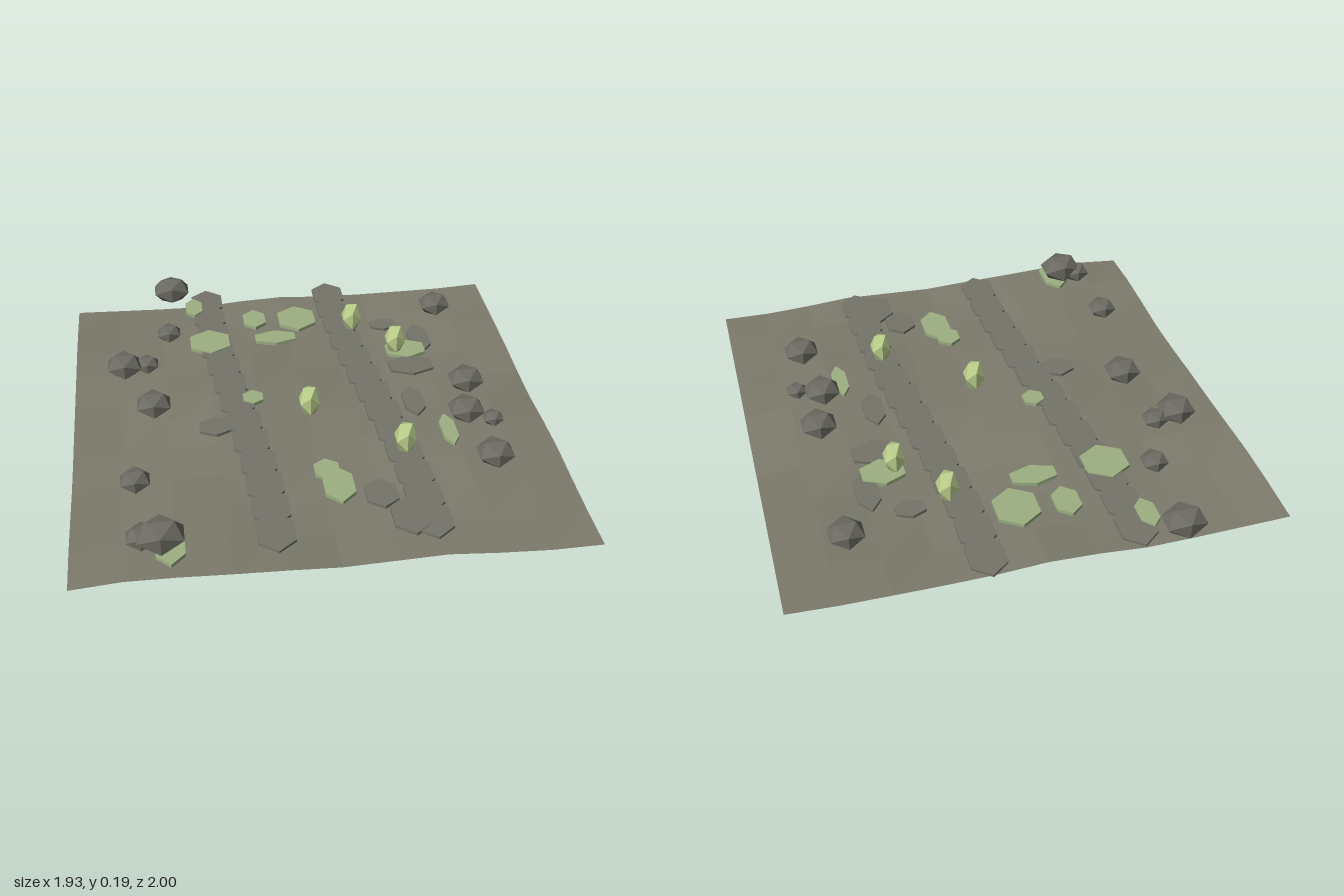
import * as THREE from 'three';

const paint = (name, color, extra = {}) => {
  const m = new THREE.MeshStandardMaterial({ color, flatShading: true, ...extra });
  m.name = name;
  return m;
};

export function createModel() {
  const root = new THREE.Group();
  root.name = 'rockyTrackTile';
  const earth = paint('earth', 0x7c7b6c, { side: THREE.DoubleSide });
  const gravel = paint('gravel', 0x75746a);
  const moss = paint('moss', 0x9db083);
  const stone = paint('stone', 0x6b6a62);
  const sprout = paint('sprout', 0xbccf8c);

  const add = (name, geo, mat, pos, scale, parent) => {
    const mesh = new THREE.Mesh(geo, mat);
    mesh.name = name;
    mesh.position.set(...pos);
    mesh.scale.set(...scale);
    parent.add(mesh);
    return mesh;
  };
  const section = (name) => {
    const g = new THREE.Group();
    g.name = name;
    root.add(g);
    return g;
  };

  // Gently rippled ground sheet
  const sheet = new THREE.PlaneGeometry(1.935, 1.935, 10, 10).rotateX(-Math.PI / 2);
  const p = sheet.attributes.position;
  for (let i = 0; i < p.count; i++) {
    const x = p.getX(i), z = p.getZ(i);
    p.setY(i, 0.024 + 0.009 * Math.sin(6.2 * x + 1.9 * z + 3.6) + 0.007 * Math.cos(5.1 * z - 2.3 * x)
      + 0.004 * Math.sin(11 * x - 9 * z));
  }
  sheet.computeVertexNormals();
  add('ground', sheet, earth, [0, 0, 0.032], [1, 1, 1], root);

  // Six-sided slab with half-width 1 in x and half-length 1 in z
  const slab = new THREE.CylinderGeometry(1, 1, 1, 6).scale(2 / Math.sqrt(3), 1, 1);
  const BASE = 0.064;

  // Two wheel ruts made of overlapping slabs along a slightly bent line
  const ruts = section('ruts');
  for (const [side, x0] of [['left', 0.22], ['right', -0.36]]) {
    const n = 13;
    for (let i = 0; i < n; i++) {
      const t = i / (n - 1);
      const x = x0 + 0.14 * THREE.MathUtils.smoothstep(t, 0, 1);
      add(side + 'Rut', slab, gravel, [x, BASE + 0.005, -0.87 + 1.71 * t], [0.07, 0.01, 0.11], ruts);
    }
  }

  // Loose slabs: x, z, half-width, half-length
  const patches = section('patches');
  const lay = (name, mat, h, list) => list.forEach(([x, z, w, l]) =>
    add(name, slab, mat, [x, BASE + h / 2, z], [w, h, l], patches));
  lay('gravelPatch', gravel, 0.012, [
    [0.43, -0.56, 0.058, 0.048], [0.57, -0.42, 0.045, 0.116], [0.49, -0.2, 0.095, 0.075],
    [0.445, 0.075, 0.042, 0.106], [-0.39, 0.155, 0.065, 0.064], [0.2, 0.67, 0.06, 0.085],
    [0.285, 0.81, 0.07, 0.11],
  ]);
  lay('mossPatch', moss, 0.015, [
    [-0.153, -0.677, 0.05, 0.08], [0.042, -0.66, 0.083, 0.106], [-0.074, -0.503, 0.09, 0.055],
    [-0.37, -0.5, 0.087, 0.1], [-0.425, -0.82, 0.038, 0.08], [-0.22, -0.032, 0.042, 0.05],
    [0.49, -0.33, 0.085, 0.075], [0.545, 0.3, 0.03, 0.106], [0.016, 0.5, 0.048, 0.064],
    [0.048, 0.6, 0.058, 0.11], [-0.603, 0.868, 0.053, 0.11],
  ]);

  // Unit blob: reaches 1 along each axis
  const s = 1 / 0.8507;
  const blob = new THREE.IcosahedronGeometry(1, 0).scale(s, s, s);

  // Boulders on the verges: x, z, half-width
  const rocks = section('rocks');
  for (const [x, z, r] of [
    [-0.523, -0.935, 0.078], [-0.55, -0.57, 0.05], [-0.752, -0.3, 0.07], [-0.655, -0.32, 0.048],
    [-0.635, 0.012, 0.068], [-0.72, 0.505, 0.056], [-0.704, 0.836, 0.055], [-0.635, 0.86, 0.085],
    [0.693, -0.66, 0.065], [0.687, -0.008, 0.068], [0.635, 0.212, 0.068], [0.736, 0.263, 0.04],
    [0.677, 0.52, 0.068],
  ]) add('rock', blob, stone, [x, 0.062 + 0.69 * r, z], [r, 0.69 * r, r * (r > 0.075 ? 0.85 : 1)], rocks);

  // Pale upright buds
  const buds = section('buds');
  for (const [x, z] of [[0.28, -0.54], [0.44, -0.322], [0, 0.111], [0.341, 0.413]])
    add('bud', blob, sprout, [x, 0.135, z], [0.04, 0.064, 0.048], buds);

  return root;
}
